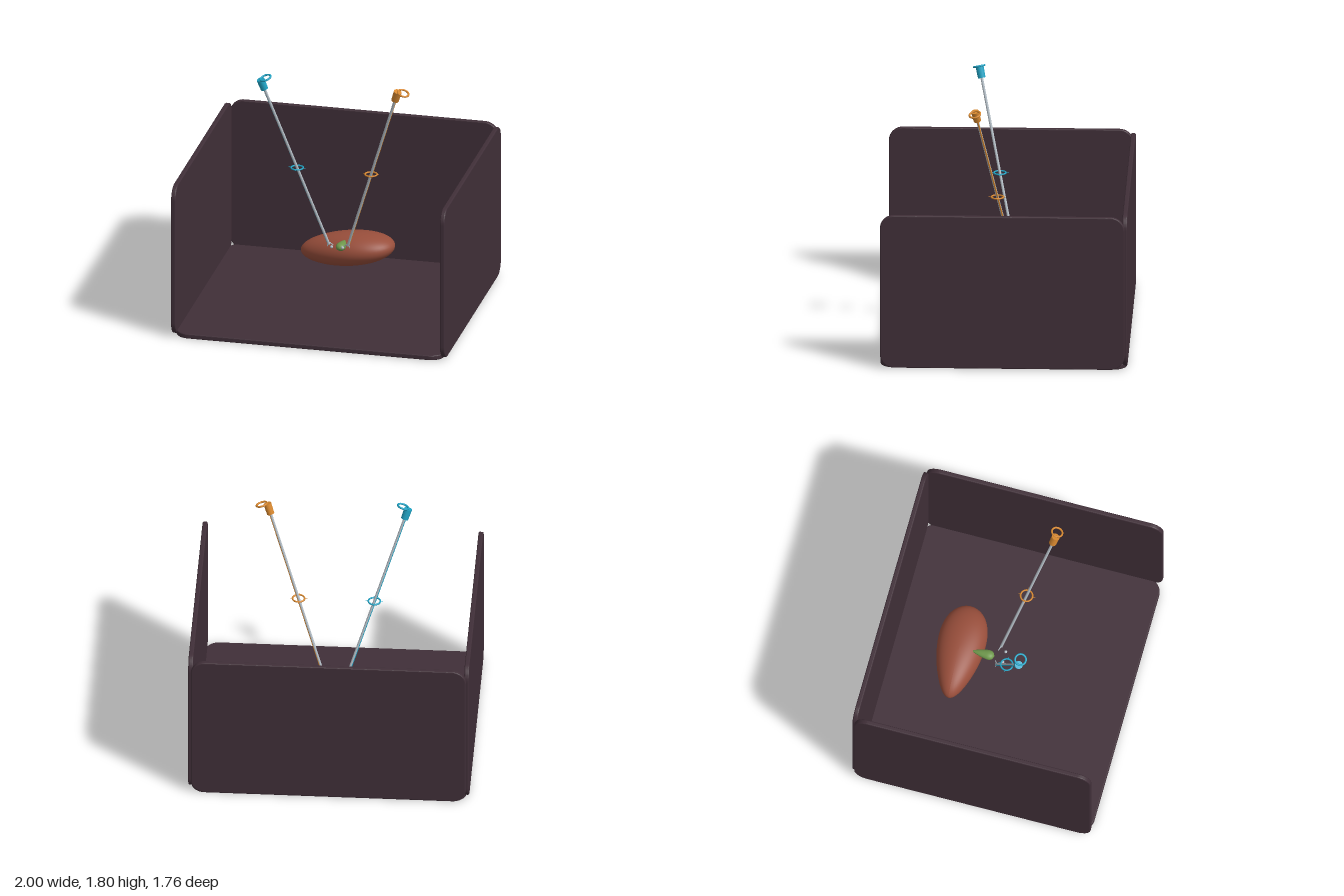
import * as THREE from 'three';

const mat = (name, color, side = THREE.FrontSide) => {
  const m = new THREE.MeshStandardMaterial({ color, side });
  m.name = name;
  return m;
};
const panelMat = mat('dark plum', 0x402f38);
const organMat = mat('reddish brown', 0x984e3b);
const sacMat = mat('leaf green', 0x6f984c);
const steelMat = mat('steel', 0xb4bec6);
const cyanMat = mat('cyan', 0x22a5c6);
const orangeMat = mat('orange', 0xd98930);

function add(parent, name, geometry, material) {
  const mesh = new THREE.Mesh(geometry, material);
  mesh.name = name;
  parent.add(mesh);
  return mesh;
}

// Rounded rectangle plate centred on the origin, lying in the xy plane
function plate(w, h, t, r = 0.1, bevel = 0.008) {
  const x = w / 2 - bevel, y = h / 2 - bevel, s = new THREE.Shape();
  const c = r - bevel;
  s.absarc(x - c, y - c, c, 0, Math.PI / 2);
  s.absarc(-x + c, y - c, c, Math.PI / 2, Math.PI);
  s.absarc(-x + c, -y + c, c, Math.PI, Math.PI * 1.5);
  s.absarc(x - c, -y + c, c, Math.PI * 1.5, Math.PI * 2);
  s.closePath();
  return new THREE.ExtrudeGeometry(s, {
    depth: t - 2 * bevel, bevelEnabled: true, bevelSize: bevel,
    bevelThickness: bevel, bevelSegments: 3, curveSegments: 8,
  }).translate(0, 0, -t / 2 + bevel);
}

// Rod between two points
function rod(parent, name, a, b, r0, r1, material) {
  const d = b.clone().sub(a);
  const m = add(parent, name, new THREE.CylinderGeometry(r1, r0, d.length(), 12), material);
  m.position.copy(a).add(b).multiplyScalar(0.5);
  m.quaternion.setFromUnitVectors(new THREE.Vector3(0, 1, 0), d.normalize());
  return m;
}

// Long-handled instrument; side is -1 or +1 along x
function instrument(side, name, color) {
  const g = new THREE.Group();
  g.name = name;
  const at = (y) => new THREE.Vector3(
    side * (0.27 + (y - 1.05) * 0.324), y, 0.066 + (y - 1.05) * 0.2125);

  // Shaft with a slim coloured strip along its outer side
  rod(g, 'shaft', at(0.43), at(1.7), 0.0095, 0.0095, steelMat);
  const offset = new THREE.Vector3(side * 0.006, -0.001, -0.002);
  rod(g, 'shaftStrip', at(0.45).add(offset), at(1.69).add(offset), 0.0055, 0.0055, color);

  // Port ring with small radial pegs
  const port = new THREE.Group();
  port.name = 'portRing';
  port.position.copy(at(1.05));
  add(port, 'ring', new THREE.TorusGeometry(0.043, 0.006, 8, 32).rotateX(Math.PI / 2), color);
  for (let i = 0; i < 4; i++) {
    const a = i * Math.PI / 2;
    rod(port, 'peg', new THREE.Vector3(Math.cos(a) * 0.045, 0, Math.sin(a) * 0.045),
      new THREE.Vector3(Math.cos(a) * 0.064, 0, Math.sin(a) * 0.064), 0.003, 0.001, color);
  }
  g.add(port);

  // Handle barrel and finger loop, square to the shaft
  rod(g, 'handle', at(1.69), at(1.766), 0.027, 0.029, color);
  const head = new THREE.Group();
  head.name = 'handleHead';
  head.position.copy(at(1.77));
  head.quaternion.setFromUnitVectors(new THREE.Vector3(0, 1, 0), at(1.7).sub(at(1.05)).normalize());
  add(head, 'fingerLoop',
    new THREE.TorusGeometry(0.039, 0.007, 10, 32).rotateX(Math.PI / 2), color).position.x = 0.04;
  g.add(head);

  // Jaws and rounded tip
  rod(g, 'innerJaw', at(0.45), new THREE.Vector3(side * 0.04, 0.42, -0.08), 0.006, 0.003, steelMat);
  rod(g, 'outerJaw', at(0.45), new THREE.Vector3(side * 0.082, 0.41, -0.07), 0.005, 0.002, steelMat);
  add(g, 'tip', new THREE.SphereGeometry(0.011, 12, 8), steelMat)
    .position.set(side * 0.04, 0.428, -0.025);
  return g;
}

export function createModel() {
  const model = new THREE.Group();
  model.name = 'surgicalTrainer';

  // Open box: floor, back wall and two side walls
  const floor = add(model, 'floor', plate(1.96, 1.755, 0.036), panelMat);
  floor.rotation.x = -Math.PI / 2;
  floor.position.set(0, 0.018, 0);
  add(model, 'backWall', plate(1.96, 1.14, 0.034), panelMat).position.set(0, 0.575, -0.863);
  for (const side of [-1, 1]) {
    const wall = add(model, side > 0 ? 'leftWall' : 'rightWall', plate(1.74, 1.14, 0.034), panelMat);
    wall.rotation.y = Math.PI / 2;
    wall.position.set(side * 0.983, 0.575, 0.009);
  }

  // Large organ: ellipsoid, narrower in depth towards the right
  const organGeo = new THREE.SphereGeometry(1, 48, 32);
  const p = organGeo.attributes.position;
  for (let i = 0; i < p.count; i++) {
    const x = p.getX(i);
    p.setXYZ(i, x * 0.343, p.getY(i) * 0.122, p.getZ(i) * 0.166 * (1 + 0.3 * x));
  }
  organGeo.computeVertexNormals();
  const organ = add(model, 'organ', organGeo, organMat);
  organ.position.set(0, 0.293, -0.355);
  organ.rotation.set(0, 0.03, 0.12);

  // Pear-shaped sac, pointed at the back
  const profile = [[0, -0.088], [0.012, -0.055], [0.024, -0.02], [0.033, 0.02],
    [0.036, 0.045], [0.031, 0.066], [0.018, 0.08], [0, 0.086]].map((q) => new THREE.Vector2(...q));
  const sac = add(model, 'sac', new THREE.LatheGeometry(
    new THREE.SplineCurve(profile).getPoints(24).map((v) => v.setX(Math.max(0, v.x))), 24)
    .rotateX(Math.PI / 2).scale(1, 0.8, 1), sacMat);
  sac.position.set(0, 0.387, -0.185);

  model.add(instrument(-1, 'rightInstrument', cyanMat));
  model.add(instrument(1, 'leftInstrument', orangeMat));
  return model;
}
